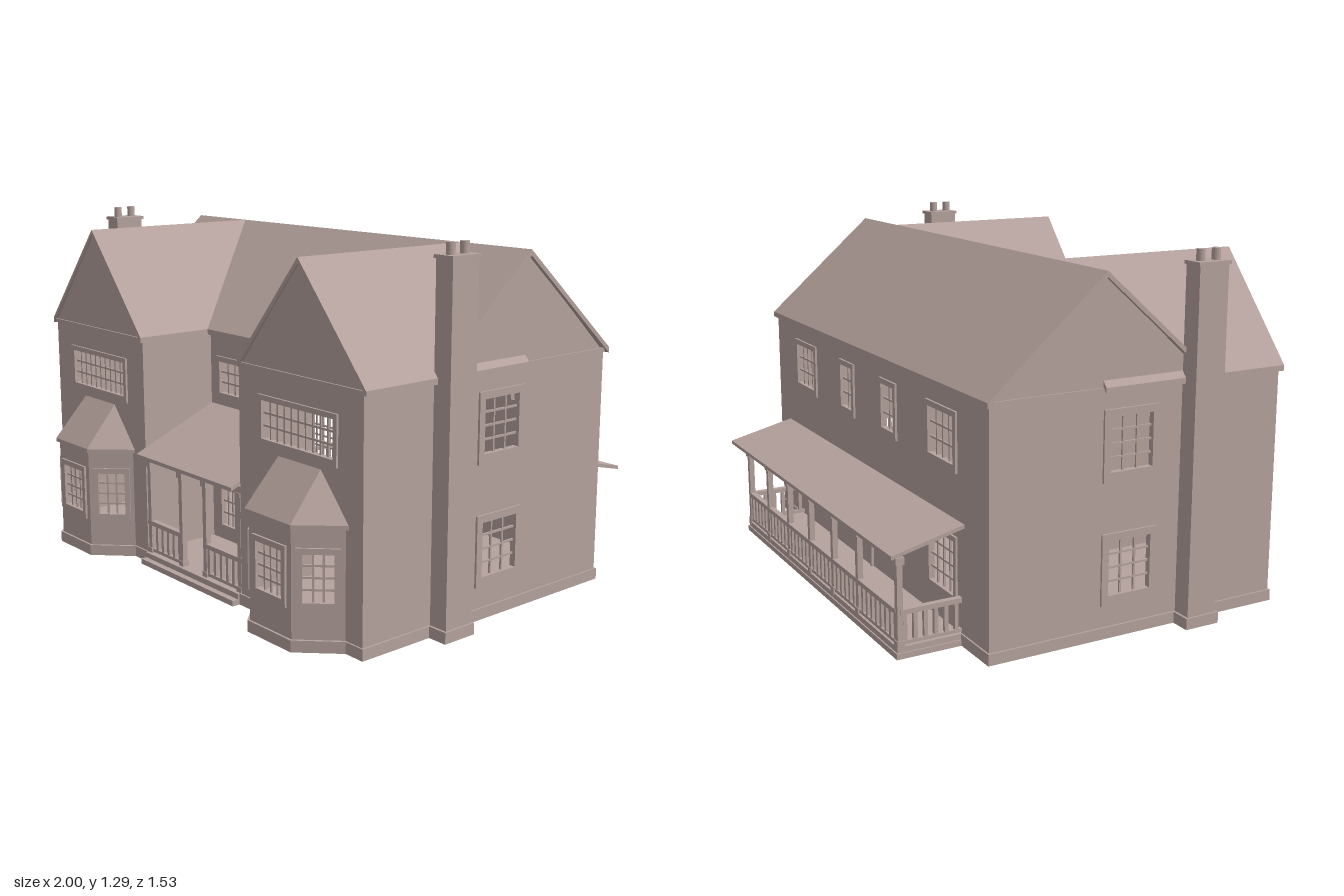
import * as THREE from 'three';
import { ConvexGeometry } from 'three/addons/geometries/ConvexGeometry.js';

const mat = new THREE.MeshStandardMaterial({ color: 0xb5a29d });
const T = 0.015; // wall thickness

function add(parent, name, geo) {
  const m = new THREE.Mesh(geo, mat);
  m.name = name;
  parent.add(m);
  return m;
}

// box given by its limits on each axis
function box(parent, name, x0, x1, y0, y1, z0, z1) {
  const g = new THREE.BoxGeometry(x1 - x0, y1 - y0, z1 - z0);
  return add(parent, name, g.translate((x0 + x1) / 2, (y0 + y1) / 2, (z0 + z1) / 2));
}

const shapeOf = pts => new THREE.Shape(pts.map(p => new THREE.Vector2(p[0], p[1])));
const rect = (x0, x1, y0, y1) => [[x0, y0], [x1, y0], [x1, y1], [x0, y1]];
const extrude = (shape, depth) => new THREE.ExtrudeGeometry(shape, { depth, bevelEnabled: false });

// [z, y] profile swept along x
function sweepX(pts, x0, x1) {
  return extrude(shapeOf(pts.map(([z, y]) => [-z, y])), x1 - x0).rotateY(Math.PI / 2).translate(x0, 0, 0);
}

// group whose local x runs from a to b (both [x, z]) and whose local z faces out
function span(parent, name, a, b) {
  const g = new THREE.Group();
  g.name = name;
  g.position.set(a[0], 0, a[1]);
  g.rotation.y = Math.atan2(a[1] - b[1], b[0] - a[0]);
  parent.add(g);
  return [g, Math.hypot(b[0] - a[0], b[1] - a[1])];
}

// wall with openings; window = [u0, u1, y0, y1, columns, rows, frame width]
function wall(parent, name, a, b, top, windows = []) {
  const [g, len] = span(parent, name, a, b);
  const s = shapeOf(rect(0, len, 0.02, top));
  for (const [u0, u1, y0, y1, cols, rows, f] of windows) {
    s.holes.push(shapeOf(rect(u0, u1, y0, y1)));
    if (!cols) continue;
    const frame = shapeOf(rect(u0 - f, u1 + f, y0 - f * 1.3, y1 + f));
    frame.holes.push(shapeOf(rect(u0, u1, y0, y1)));
    add(g, 'windowFrame', extrude(frame, 0.012).translate(0, 0, -0.004));
    const r = 0.0035;
    for (let i = 1; i < cols; i++) {
      const u = u0 + (u1 - u0) * i / cols;
      box(g, 'windowBar', u - r, u + r, y0, y1, -0.01, -0.003);
    }
    for (let i = 1; i < rows; i++) {
      const y = y0 + (y1 - y0) * i / rows;
      box(g, 'windowBar', u0, u1, y - r, y + r, -0.01, -0.003);
    }
  }
  add(g, 'wallPanel', extrude(s, T).translate(0, 0, -T));
}

// the same wall on both halves of the house
function walls(parent, name, a, b, top, windows = []) {
  const len = Math.hypot(b[0] - a[0], b[1] - a[1]);
  wall(parent, name, a, b, top, windows);
  wall(parent, name, [-b[0], b[1]], [-a[0], a[1]], top,
    windows.map(([u0, u1, ...rest]) => [len - u1, len - u0, ...rest]));
}

function railing(parent, a, b) {
  const [g, len] = span(parent, 'railing', a, b);
  box(g, 'topRail', 0, len, 0.148, 0.165, -0.011, 0.011);
  box(g, 'bottomRail', 0, len, 0.045, 0.057, -0.008, 0.008);
  const n = Math.max(2, Math.round(len / 0.037));
  for (let i = 0; i < n; i++) {
    const u = len * (i + 0.5) / n;
    box(g, 'baluster', u - 0.007, u + 0.007, 0.055, 0.15, -0.007, 0.007);
  }
}

function post(parent, x, z, top) {
  box(parent, 'postShaft', x - 0.01, x + 0.01, 0.03, top, z - 0.01, z + 0.01);
  box(parent, 'postCap', x - 0.015, x + 0.015, top - 0.04, top - 0.015, z - 0.015, z + 0.015);
  box(parent, 'postFoot', x - 0.013, x + 0.013, 0.03, 0.06, z - 0.013, z + 0.013);
}

function door(parent, a, b, top) {
  const [g, w] = span(parent, 'door', a, b);
  box(g, 'doorLeaf', 0.015, w - 0.015, 0.04, top - 0.015, -0.005, 0.004);
  box(g, 'doorJamb', 0, 0.015, 0.04, top, -0.005, 0.01);
  box(g, 'doorJamb', w - 0.015, w, 0.04, top, -0.005, 0.01);
  box(g, 'doorHead', 0, w, top - 0.015, top, -0.005, 0.01);
}

// inverted V profile for a gabled roof
const chevron = (c, w, ridge, eave, t) =>
  [[c - w, eave], [c, ridge], [c + w, eave], [c + w, eave - t], [c, ridge - t], [c - w, eave - t]];

export function createModel() {
  const house = new THREE.Group();
  house.name = 'house';
  const X = 0.92, IN = 0.295, FRONT = 0.632, MID = 0.325, BACK = -0.505, TOP = 0.85;
  const RIDGE = 1.235, EAVE = 0.862, WING = 0.617;

  // plinth and floor in one footprint, with the bays
  const half = [[0.29, 0.645], [0.29, 0.638], [0.375, 0.638], [0.5, 0.763], [0.725, 0.763],
    [0.848, 0.638], [0.927, 0.638], [0.927, -0.511]];
  const foot = [...half, ...half.map(([x, z]) => [-x, z]).reverse()];
  add(house, 'plinth', extrude(shapeOf(foot.map(([x, z]) => [x, -z])), 0.04).rotateX(-Math.PI / 2));

  // outer walls
  walls(house, 'sideWall', [X, FRONT], [X, BACK], TOP,
    [[0.527, 0.692, 0.575, 0.76, 3, 4, 0.026], [0.527, 0.692, 0.15, 0.34, 3, 4, 0.026]]);
  walls(house, 'wingFrontWall', [IN, FRONT], [X, FRONT], TOP,
    [[0.13, 0.49, 0.62, 0.75, 10, 3, 0.018], [0.1, 0.53, 0.05, 0.4, 0]]);
  walls(house, 'wingInnerWall', [IN, MID], [IN, FRONT], TOP);
  const middle = [];
  for (const s of [-1, 1]) {
    const at = (c, w) => [IN + s * c - w / 2, IN + s * c + w / 2];
    middle.push([...at(0.147, 0.17), 0.625, 0.745, 4, 3, 0.02]);
    middle.push([...at(0.188, 0.085), 0.1, 0.34, 3, 5, 0.018]);
  }
  wall(house, 'middleFrontWall', [-IN, MID], [IN, MID], TOP, middle);
  const rear = [];
  for (const s of [-1, 1]) for (const [c, w, cols] of [[0.6, 0.18, 4], [0.185, 0.1, 2]]) {
    const u = X + s * c;
    rear.push([u - w / 2, u + w / 2, 0.605, 0.765, cols, 3, 0.02]);
    rear.push([u - w / 2, u + w / 2, 0.155, 0.345, cols, 4, 0.018]);
  }
  wall(house, 'backWall', [X, BACK], [-X, BACK], TOP, rear);
  door(house, [-0.068, MID], [0.068, MID], 0.38);
  door(house, [0.08, BACK], [-0.03, BACK], 0.35);

  // main roof and its side gables
  add(house, 'mainRoof', sweepX(chevron(-0.09, 0.428, RIDGE, EAVE, 0.02), -0.935, 0.935));
  const gable = (c, w) => [[c - w, TOP - 0.005], [c + w, TOP - 0.005], [c, RIDGE - 0.012]];
  for (const s of [-1, 1]) {
    const x = s > 0 ? X - T : -X;
    add(house, 'sideGable', sweepX(gable(-0.09, 0.415), x, x + T));
    box(house, 'sideGableTrim', s > 0 ? X - T : -X - 0.006, s > 0 ? X + 0.006 : -X + T,
      TOP - 0.006, TOP + 0.01, BACK, MID);

    // wing roof and front gable
    const wing = extrude(shapeOf(chevron(s * WING, 0.321, RIDGE, EAVE, 0.02)), 0.73);
    add(house, 'wingRoof', wing.translate(0, 0, -0.09));
    add(house, 'wingGable', extrude(shapeOf(gable(s * WING, 0.31)), T).translate(0, 0, FRONT - T));
    const c = s * WING;
    box(house, 'wingGableTrim', c - 0.322, c + 0.322, TOP - 0.004, TOP + 0.01, FRONT - T, FRONT + 0.006);

    // bay roof
    const b = s * 0.612, pts = [];
    for (const k of [-1, 1]) {
      for (const y of [0.408, 0.422]) {
        pts.push(new THREE.Vector3(b + k * 0.242, y, FRONT), new THREE.Vector3(b + k * 0.117, y, 0.765));
      }
      pts.push(new THREE.Vector3(b + k * 0.107, 0.575, FRONT));
    }
    add(house, 'bayRoof', new ConvexGeometry(pts));

    // chimney
    const cx = s * 0.957;
    const stack = (name, r, y0, y1, z0, z1) => box(house, name, cx - r, cx + r, y0, y1, z0, z1);
    stack('chimneyBase', 0.043, 0, 0.04, 0.213, 0.347);
    stack('chimneyShaft', 0.036, 0.04, 1.238, 0.222, 0.338);
    stack('chimneyCap', 0.041, 1.236, 1.248, 0.216, 0.344);
    for (const z of [0.25, 0.312]) {
      add(house, 'chimneyPot', new THREE.CylinderGeometry(0.015, 0.015, 0.042, 16).translate(cx, 1.266, z));
    }
  }

  // bay window walls
  const bay = [[0.383, FRONT], [0.505, 0.755], [0.72, 0.755], [0.84, FRONT]];
  walls(house, 'baySide', bay[0], bay[1], 0.415, [[0.035, 0.137, 0.165, 0.325, 3, 4, 0.02]]);
  walls(house, 'bayFront', bay[1], bay[2], 0.415, [[0.042, 0.173, 0.165, 0.325, 4, 4, 0.02]]);
  walls(house, 'baySide', bay[2], bay[3], 0.415, [[0.035, 0.137, 0.165, 0.325, 3, 4, 0.02]]);

  // front porch
  const porch = new THREE.Group();
  porch.name = 'frontPorch';
  house.add(porch);
  add(porch, 'porchRoof', sweepX([[MID, 0.575], [0.672, 0.428], [0.672, 0.414], [MID, 0.56]], -IN, IN));
  box(porch, 'porchBeam', -IN, IN, 0.4, 0.424, 0.61, 0.632);
  box(porch, 'porchStep', -0.29, 0.29, 0, 0.02, 0.6, 0.668);
  for (const x of [-0.28, -0.075, 0.075, 0.28]) post(porch, x, 0.62, 0.415);
  railing(porch, [-IN, 0.62], [-0.075, 0.62]);
  railing(porch, [0.075, 0.62], [IN, 0.62]);

  // back veranda
  const veranda = new THREE.Group();
  veranda.name = 'backVeranda';
  house.add(veranda);
  add(veranda, 'verandaRoof', sweepX([[BACK, 0.422], [-0.765, 0.359], [-0.765, 0.346], [BACK, 0.409]], -0.757, 0.815));
  box(veranda, 'verandaBase', -0.745, 0.705, 0, 0.02, -0.745, BACK);
  box(veranda, 'verandaFloor', -0.74, 0.7, 0.02, 0.04, -0.74, BACK);
  const z = -0.728;
  for (const x of [0.69, 0.467, 0.247, 0.027, -0.193, -0.413, -0.728]) post(veranda, x, z, 0.358);
  box(veranda, 'verandaBeam', -0.738, 0.7, 0.336, 0.352, z - 0.008, z + 0.008);
  railing(veranda, [0.69, z], [-0.728, z]);
  railing(veranda, [0.69, BACK], [0.69, z]);
  railing(veranda, [-0.728, z], [-0.728, BACK]);

  return house;
}
